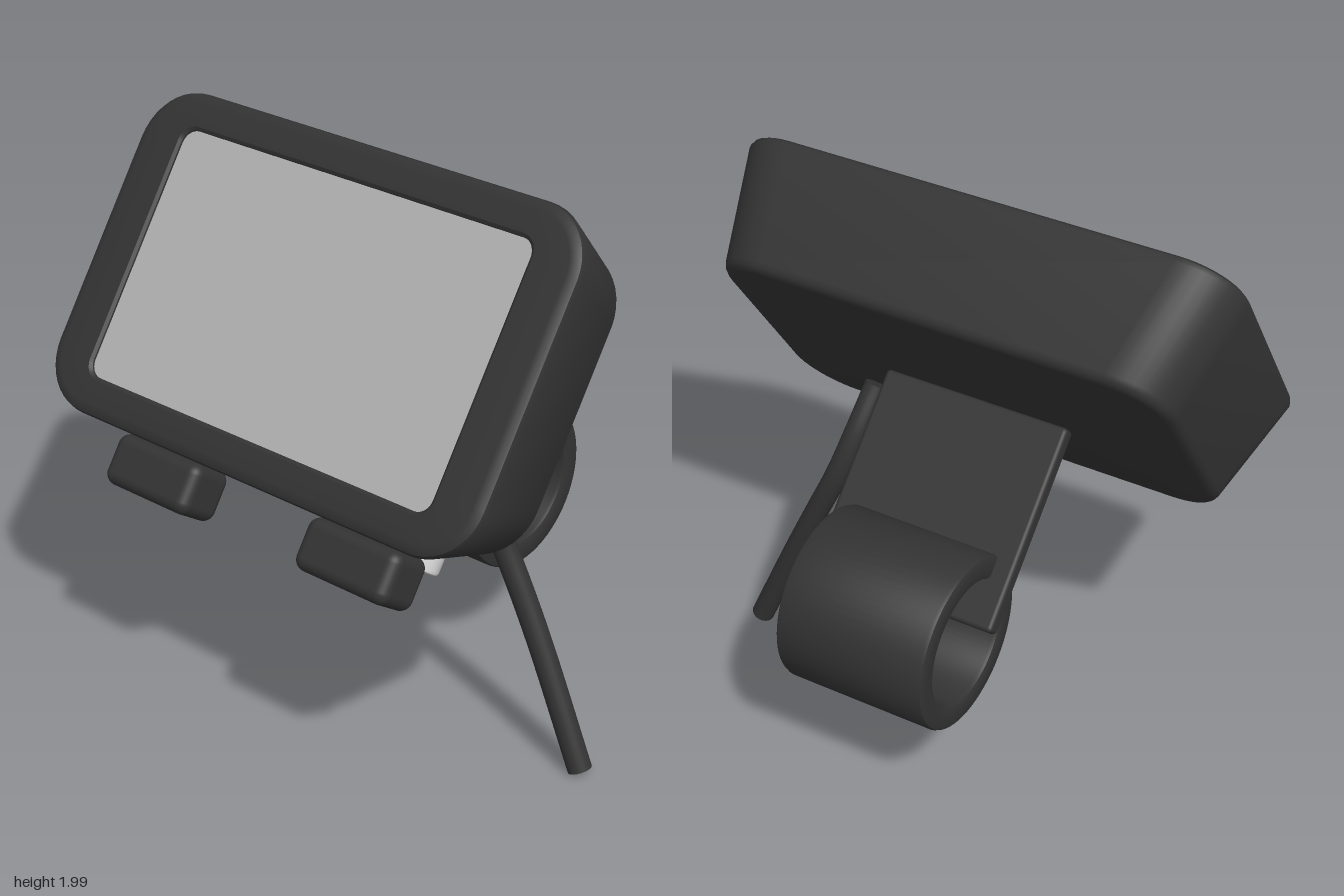
import * as THREE from 'three';
import { toCreasedNormals } from 'three/addons/utils/BufferGeometryUtils.js';
import { RoundedBoxGeometry } from 'three/addons/geometries/RoundedBoxGeometry.js';

const mat = (name, color) => {
  const m = new THREE.MeshStandardMaterial({ color });
  m.name = name;
  return m;
};

const add = (parent, name, geometry, material) => {
  const mesh = new THREE.Mesh(geometry, material);
  mesh.name = name;
  parent.add(mesh);
  return mesh;
};

// Outline of a rounded rectangle as [z, y] points
function roundedOutline(hz, hy, r, steps = 10) {
  const points = [];
  for (let q = 0; q < 4; q++) {
    const cz = (q === 0 || q === 3 ? 1 : -1) * (hz - r);
    const cy = (q < 2 ? 1 : -1) * (hy - r);
    for (let i = 0; i <= steps; i++) {
      const a = (q + i / steps) * Math.PI / 2;
      points.push([cz + r * Math.cos(a), cy + r * Math.sin(a)]);
    }
  }
  return points;
}

// Skin over rows of [x, halfZ, halfY, radius]; the last row is a closing point
function loft(rows) {
  const pos = [], index = [];
  let n = 0;
  for (const [x, hz, hy, r] of rows) {
    const loop = roundedOutline(hz, hy, r);
    n = loop.length;
    for (const [z, y] of loop) pos.push(x, y, z);
  }
  for (let i = 0; i < rows.length - 1; i++) {
    for (let j = 0; j < n; j++) {
      const k = (j + 1) % n;
      const a = i * n + j, d = i * n + k, b = a + n, c = d + n;
      index.push(a, b, d);
      if (i < rows.length - 2) index.push(b, c, d);
    }
  }
  const g = new THREE.BufferGeometry();
  g.setAttribute('position', new THREE.Float32BufferAttribute(pos, 3));
  g.setIndex(index);
  return toCreasedNormals(g, 0.6);
}

const lathe = (profile, segments) => toCreasedNormals(
  new THREE.LatheGeometry(profile.map(([r, y]) => new THREE.Vector2(r, y)), segments), 0.6);

export function createModel() {
  const model = new THREE.Group();
  model.name = 'mountedDisplay';
  const black = mat('black plastic', 0x333333);
  const grey = mat('screen grey', 0xb0b0b0);
  const metal = mat('light metal', 0xd6d6d6);

  // Tilted display: local -x is the screen side, local y runs up the screen
  const display = new THREE.Group();
  display.name = 'display';
  display.position.set(-0.405, 1.55, 0);
  display.rotation.z = -35 * Math.PI / 180;
  model.add(display);

  add(display, 'housing', loft([
    [0.02, 0.708, 0.428, 0.05],
    [0.008, 0.71, 0.43, 0.052],
    [0, 0.72, 0.44, 0.06],
    [0, 0.85, 0.515, 0.16],
    [0.004, 0.871, 0.536, 0.181],
    [0.013, 0.884, 0.549, 0.194],
    [0.03, 0.89, 0.554, 0.2],
    [0.405, 0.812, 0.497, 0.2],
    [0.42, 0.804, 0.489, 0.192],
    [0.43, 0.792, 0.477, 0.18],
    [0.434, 0.772, 0.457, 0.16],
    [0.434, 0, 0, 0],
  ]), black);

  // Slightly recessed screen
  const outline = roundedOutline(0.71, 0.43, 0.05).map(([z, y]) => new THREE.Vector2(z, y));
  const screen = add(display, 'screen', new THREE.ShapeGeometry(new THREE.Shape(outline)), grey);
  screen.rotation.y = -Math.PI / 2;
  screen.position.x = 0.014;

  // Two buttons along the lower edge
  for (const side of [-1, 1]) {
    const button = add(display, side > 0 ? 'leftButton' : 'rightButton',
      new RoundedBoxGeometry(0.185, 0.175, 0.37, 4, 0.04), black);
    button.position.set(0.214, -0.647, side * 0.415);
  }

  // Flat arm between housing and clamp
  const arm = add(model, 'arm', new RoundedBoxGeometry(0.7, 0.06, 0.68, 3, 0.015), black);
  arm.position.set(0.132, 0.965, 0);
  arm.rotation.z = -Math.PI / 4;

  // Clamp ring with softened rims
  const ro = 0.298, ri = 0.215, h = 0.272, b = 0.015, k = b * 0.3;
  const ring = add(model, 'clampRing', lathe([
    [ri, -h + b], [ri + k, -h + k], [ri + b, -h],
    [ro - b, -h], [ro - k, -h + k], [ro, -h + b],
    [ro, h - b], [ro - k, h - k], [ro - b, h],
    [ri + b, h], [ri + k, h - k], [ri, h - b], [ri, -h + b],
  ], 64), black);
  ring.position.set(0.42, 0.68, 0);
  ring.rotation.x = Math.PI / 2;

  // Clamp screw pointing at the ring centre
  const screw = add(model, 'clampScrew', lathe([
    [0, -0.408], [0.055, -0.408], [0.063, -0.404], [0.067, -0.396], [0.067, -0.212], [0, -0.212],
  ], 24), metal);
  screw.position.set(0.42, 0.68, 0);
  screw.rotation.z = -35 * Math.PI / 180;

  // Cable hanging from the back of the housing
  const path = new THREE.CatmullRomCurve3([
    [-0.172, 1.09, 0.432], [-0.075, 0.93, 0.462], [-0.03, 0.78, 0.508], [-0.014, 0.6, 0.588],
    [-0.01, 0.4, 0.68], [-0.018, 0.018, 0.853],
  ].map(p => new THREE.Vector3(...p)));
  const cable = new THREE.Group();
  cable.name = 'cable';
  model.add(cable);
  add(cable, 'cableSheath', new THREE.TubeGeometry(path, 48, 0.041, 20), black);
  for (const t of [0, 1]) {
    const cap = add(cable, t ? 'cableLowerEnd' : 'cableUpperEnd', new THREE.CircleGeometry(0.041, 20), black);
    cap.position.copy(path.getPoint(t));
    const out = path.getTangent(t).multiplyScalar(t ? 1 : -1);
    cap.quaternion.setFromUnitVectors(new THREE.Vector3(0, 0, 1), out);
  }
  return model;
}
